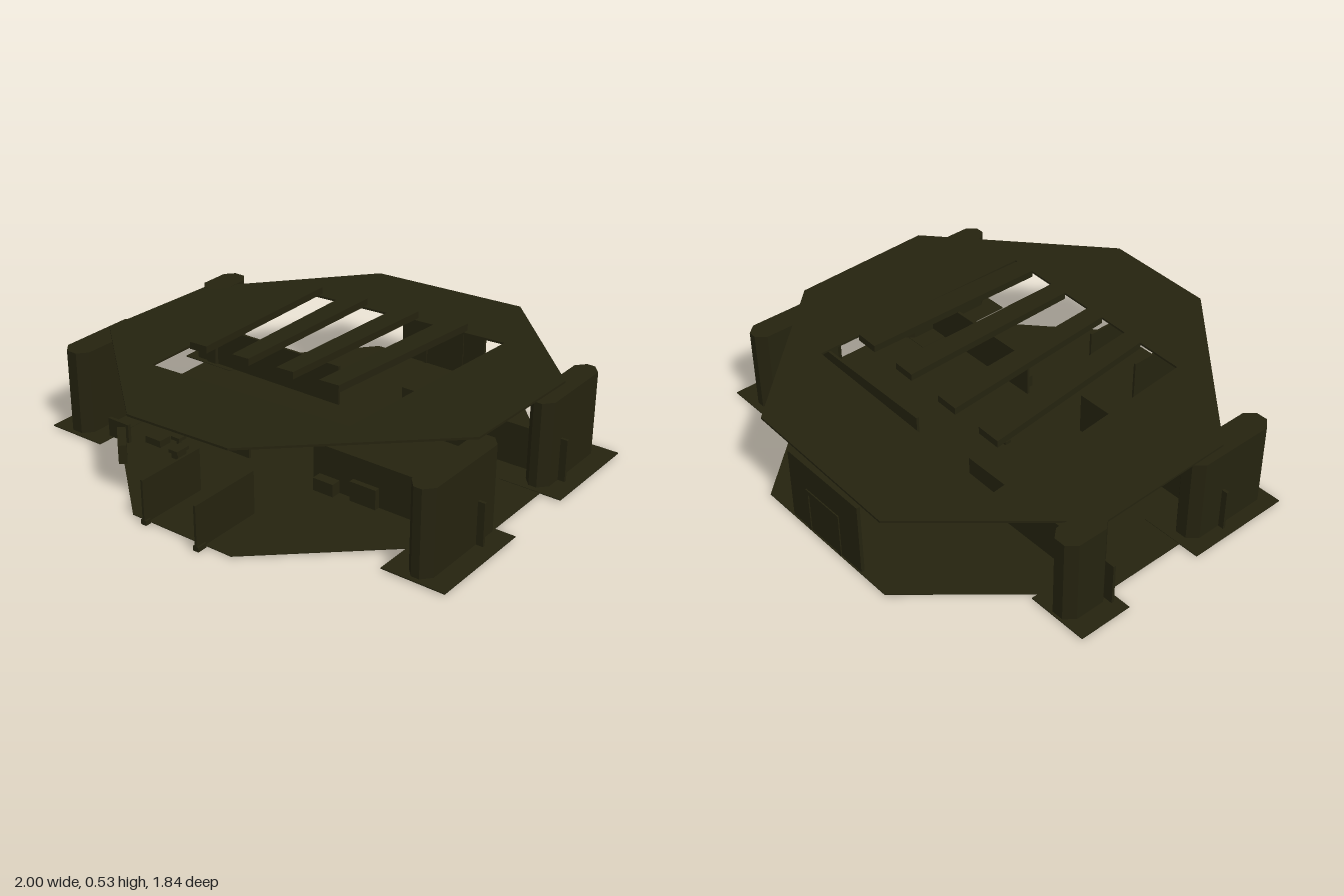
import * as THREE from 'three';

export function createModel() {
  const model = new THREE.Group();
  model.name = 'pavilion';
  const olive = new THREE.MeshStandardMaterial({ color: 0x25230f, side: THREE.DoubleSide });
  olive.name = 'dark olive';

  const add = (name, geometry, x = 0, y = 0, z = 0) => {
    const mesh = new THREE.Mesh(geometry, olive);
    mesh.name = name;
    mesh.position.set(x, y, z);
    model.add(mesh);
    return mesh;
  };
  // Box given by its limits on each axis
  const block = (name, x0, x1, y0, y1, z0, z1) =>
    add(name, new THREE.BoxGeometry(x1 - x0, y1 - y0, z1 - z0), (x0 + x1) / 2, (y0 + y1) / 2, (z0 + z1) / 2);
  // Outline in plan, with z stored as -y so that rotateX lays it flat
  const plan = (pts) => pts.map(([x, z]) => new THREE.Vector2(x, -z));
  // Sloping plane followed by the roof and the slats
  const slope = (x, z) => 0.035 * x + 0.03 * z;
  const tilt = (geometry) => {
    const p = geometry.attributes.position;
    for (let i = 0; i < p.count; i++) p.setY(i, p.getY(i) + slope(p.getX(i), p.getZ(i)));
    geometry.computeVertexNormals();
    return geometry;
  };
  const slab = (outline, hole, depth, y) => {
    const shape = new THREE.Shape(plan(outline));
    if (hole) shape.holes.push(new THREE.Path(plan(hole)));
    return new THREE.ExtrudeGeometry(shape, { depth, bevelEnabled: false }).rotateX(-Math.PI / 2).translate(0, y, 0);
  };

  // Eight-sided floor and tilted roof with a large opening
  const octagon = [[-0.22, 0.87], [0.26, 0.87], [0.91, 0.28], [0.91, -0.33],
    [0.365, -0.92], [-0.365, -0.92], [-0.89, -0.32], [-0.89, 0.28]];
  const opening = [[-0.52, -0.525], [0.525, -0.525], [0.49, 0.475], [-0.465, 0.475]];
  add('floor', slab(octagon, null, 0.003, 0.004));
  add('roof', tilt(slab(octagon, opening, 0.009, 0.4)));

  // Four slats above the opening, converging towards the front: back x range, front x range
  for (const [b0, b1, f0, f1] of [[-0.41, -0.305, -0.345, -0.26], [-0.17, -0.07, -0.13, -0.05],
    [0.09, 0.185, 0.085, 0.165], [0.32, 0.42, 0.285, 0.375]]) {
    add('roofSlat', tilt(slab([[b0, -0.41], [b1, -0.41], [f1, 0.385], [f0, 0.385]], null, 0.03, 0.476)));
  }

  // Corner towers with chamfered ends on thin ground pads
  const tower = (x0, x1, z0, z1) => {
    const c = 0.035, e = 0.04;
    add('cornerTower', slab([[x0 + c, z0], [x1 - c, z0], [x1, z0 + e], [x1, z1 - e],
      [x1 - c, z1], [x0 + c, z1], [x0, z1 - e], [x0, z0 + e]], null, 0.361, 0.009));
  };
  tower(0.81, 0.915, 0.12, 0.59);
  tower(0.81, 0.915, -0.63, -0.215);
  tower(-0.92, -0.8, 0.12, 0.53);
  tower(-0.92, -0.8, -0.52, -0.31);
  block('groundPad', 0.73, 1, 0.005, 0.009, 0.14, 0.61);
  block('groundPad', 0.73, 1, 0.005, 0.009, -0.66, -0.19);
  block('groundPad', -0.98, -0.71, 0.005, 0.009, 0.08, 0.55);
  block('groundPad', -1, -0.735, 0.005, 0.009, -0.53, -0.295);

  // Low cross walls with a central gap, and two front dividers
  for (const z of [0.27, -0.325]) {
    block('lowWall', 0.175, 0.945, 0.008, 0.19, z - 0.006, z + 0.006);
    block('lowWall', -0.945, -0.15, 0.008, 0.19, z - 0.006, z + 0.006);
  }
  block('frontDivider', -0.155, -0.13, 0, 0.02, 0.87, 0.895);
  block('frontDivider', 0.12, 0.145, 0, 0.02, 0.87, 0.915);
  block('frontDivider', -0.147, -0.137, 0.006, 0.19, 0.58, 0.895);
  block('frontDivider', 0.128, 0.138, 0.006, 0.19, 0.59, 0.915);

  // Back wall with a raised door frame
  block('backWall', -0.22, 0.21, 0.008, 0.325, -0.915, -0.9);
  for (const x of [-0.1, 0.09]) block('doorPost', x, x + 0.015, 0.008, 0.2, -0.92, -0.895);
  block('doorLintel', -0.1, 0.105, 0.185, 0.205, -0.92, -0.895);

  // Benches and crates in front of the walls
  block('crate', 0.205, 0.3, 0.008, 0.062, 0.275, 0.32);
  block('crate', 0.365, 0.485, 0.008, 0.092, 0.275, 0.3);
  block('seat', -0.48, -0.435, 0.03, 0.045, 0.33, 0.375);
  block('seatBase', -0.465, -0.45, 0.008, 0.03, 0.345, 0.36);
  block('seat', -0.405, -0.36, 0.035, 0.05, 0.4, 0.47);
  block('seatBase', -0.4, -0.365, 0.008, 0.035, 0.41, 0.46);
  block('bench', -0.53, -0.45, 0.04, 0.07, 0.41, 0.47);
  const sign = block('angledPanel', -0.655, -0.495, 0.008, 0.09, 0.54, 0.575);
  sign.rotation.y = -0.78;
  block('angledPanelSide', -0.73, -0.62, 0.008, 0.09, 0.46, 0.475);
  block('floorStub', -0.02, 0.02, 0.006, 0.022, -0.03, 0.0);

  return model;
}
